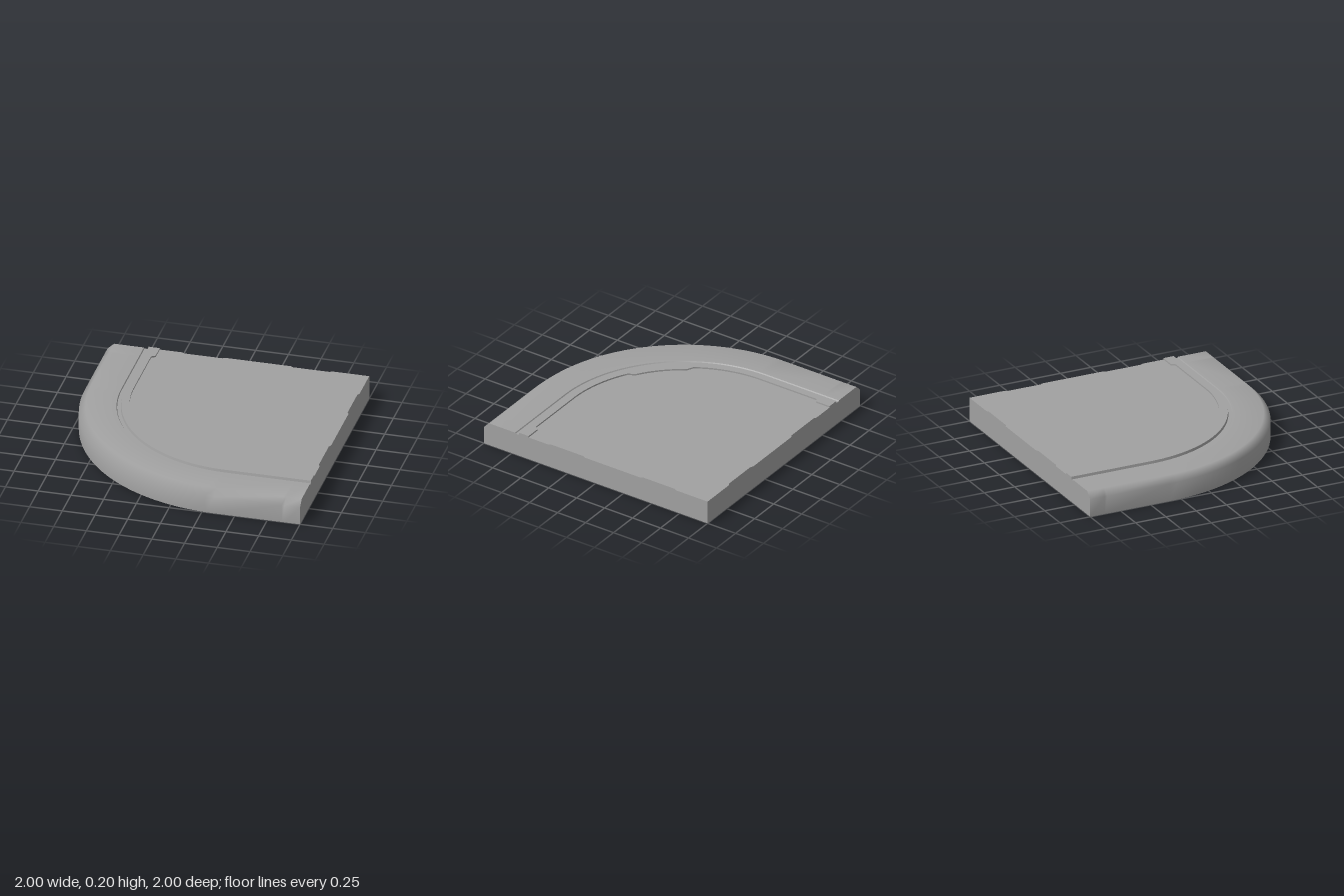
import * as THREE from 'three';

const ROAD = 0.188;                   // road and pavement height
const CHIP_IN = 0.012, CHIP_DOWN = 0.009;
const CORNER = 0.345, RADIUS = 1.345; // bend centre is (CORNER, -CORNER)
const CHIPS = [[0.43, 0.1], [-0.4, -0.72]];

const material = new THREE.MeshStandardMaterial({ color: 0xa1a1a1, side: THREE.DoubleSide });

function mesh(name, positions, index) {
  const g = new THREE.BufferGeometry();
  g.setAttribute('position', new THREE.Float32BufferAttribute(positions, 3));
  g.setIndex(index);
  g.computeVertexNormals();
  const m = new THREE.Mesh(g, material);
  m.name = name;
  return m;
}

// Ribbon through two or more rows of points, smooth across the rows
function strip(name, rows) {
  const n = rows[0].length, index = [];
  for (let j = 0; j < rows.length - 1; j++) {
    for (let i = 0; i < n - 1; i++) {
      const a = j * n + i, d = a + n;
      index.push(a, a + 1, d + 1, a, d + 1, d);
    }
  }
  return mesh(name, rows.flat(2), index);
}

// Flat polygon, placed in space by a rule
function face(name, outline, place, flip) {
  const pts = outline.map(([a, b]) => new THREE.Vector2(a, b));
  if (THREE.ShapeUtils.isClockWise(pts)) pts.reverse();
  const tris = THREE.ShapeUtils.triangulateShape(pts, []);
  const index = tris.flatMap(([a, b, c]) => (flip ? [a, c, b] : [a, b, c]));
  return mesh(name, pts.flatMap((p) => place(p.x, p.y)), index);
}

// Cross-section as [inset from the outer edge, height]; k is the kerb's inner edge
const section = (k) => [
  [0, 0], [0, 0.14], [0.05, ROAD], [0.279, ROAD], [0.284, 0.18],
  [0.311, 0.18], [0.315, 0.2], [k, 0.2], [k, ROAD],
];

// Stations along the outer edge: straight, quarter bend, straight
function makeStations() {
  const out = [];
  const ends = [[-1, 0.4], [-0.88, 0.4], [-0.86, 0.37]];
  for (const [z, k] of ends) out.push({ k, at: (d) => [-1 + d, z] });
  for (let deg = 0; deg <= 90; deg += 3) {
    const a = THREE.MathUtils.degToRad(deg);
    const fromEnd = Math.min(deg, 90 - deg);
    const k = fromEnd > 30 ? 0.41 : 0.37 + 0.01 * fromEnd / 30;
    out.push({
      k,
      at: (d) => [CORNER - (RADIUS - d) * Math.cos(a), -CORNER + (RADIUS - d) * Math.sin(a)],
    });
  }
  for (const [z, k] of ends.reverse()) out.push({ k, at: (d) => [-z, 1 - d] });
  return out;
}

export function createModel() {
  const model = new THREE.Group();
  model.name = 'roadCornerTile';
  const stations = makeStations();

  // Soft-edged outer wall and pavement, then gutter and kerb, swept around the bend
  const row = (j) => stations.map((s) => {
    const [d, y] = section(s.k)[j];
    const [x, z] = s.at(d);
    return [x, y, z];
  });
  model.add(strip('outerWallAndPavement', [0, 1, 2, 3].map(row)));
  ['gutterOuterSide', 'gutterFloor', 'kerbFace', 'kerbTop', 'kerbInnerSide']
    .forEach((name, i) => model.add(strip(name, [row(i + 3), row(i + 4)])));

  // Chipped edge as [position along the side, chip amount 0..1]
  const edge = CHIPS.flatMap(([a, b]) => [[a, 0], [a - 0.02, 1], [b + 0.02, 1], [b, 0]]);

  // Road surface, its two straight sides notched by the chips
  const inner = row(8).map(([x, , z]) => [x, z]);
  const leftSide = edge.map(([u, c]) => [1 - c * CHIP_IN, u]);
  const backSide = edge.map(([u, c]) => [-u, -1 + c * CHIP_IN]).reverse();
  model.add(face('roadSurface', [...inner, ...leftSide, [1, -1], ...backSide],
    (x, z) => [x, ROAD, z], true));

  // Straight side walls and chip slopes, mirrored across the diagonal
  const wall = [
    ...section(0.4).map(([d, y]) => [1 - d, y]),
    ...edge.map(([u, c]) => [u, ROAD - c * CHIP_DOWN]),
    [-1, ROAD], [-1, 0],
  ];
  const sides = [
    { name: 'left', place: (u, y, d = 0) => [1 - d, y, u], flip: true, out: [1, 0, 0] },
    { name: 'back', place: (u, y, d = 0) => [-u, y, -1 + d], flip: false, out: [0, 0, -1] },
  ];
  for (const { name, place, flip, out } of sides) {
    model.add(face(name + 'Wall', wall, (u, y) => place(u, y), flip));
    for (let i = 0; i < edge.length; i += 4) {
      const chip = edge.slice(i, i + 4);
      const low = chip.map(([u, c]) => place(u, ROAD - c * CHIP_DOWN));
      const high = chip.map(([u, c]) => place(u, ROAD, c * CHIP_IN));
      const slope = strip(name + 'EdgeChip', flip ? [low, high] : [high, low]);
      // The chip shades smoothly into the wall below it
      const normal = slope.geometry.attributes.normal;
      for (let v = 0; v < normal.count; v++) normal.setXYZ(v, ...out);
      model.add(slope);
    }
  }
  return model;
}
